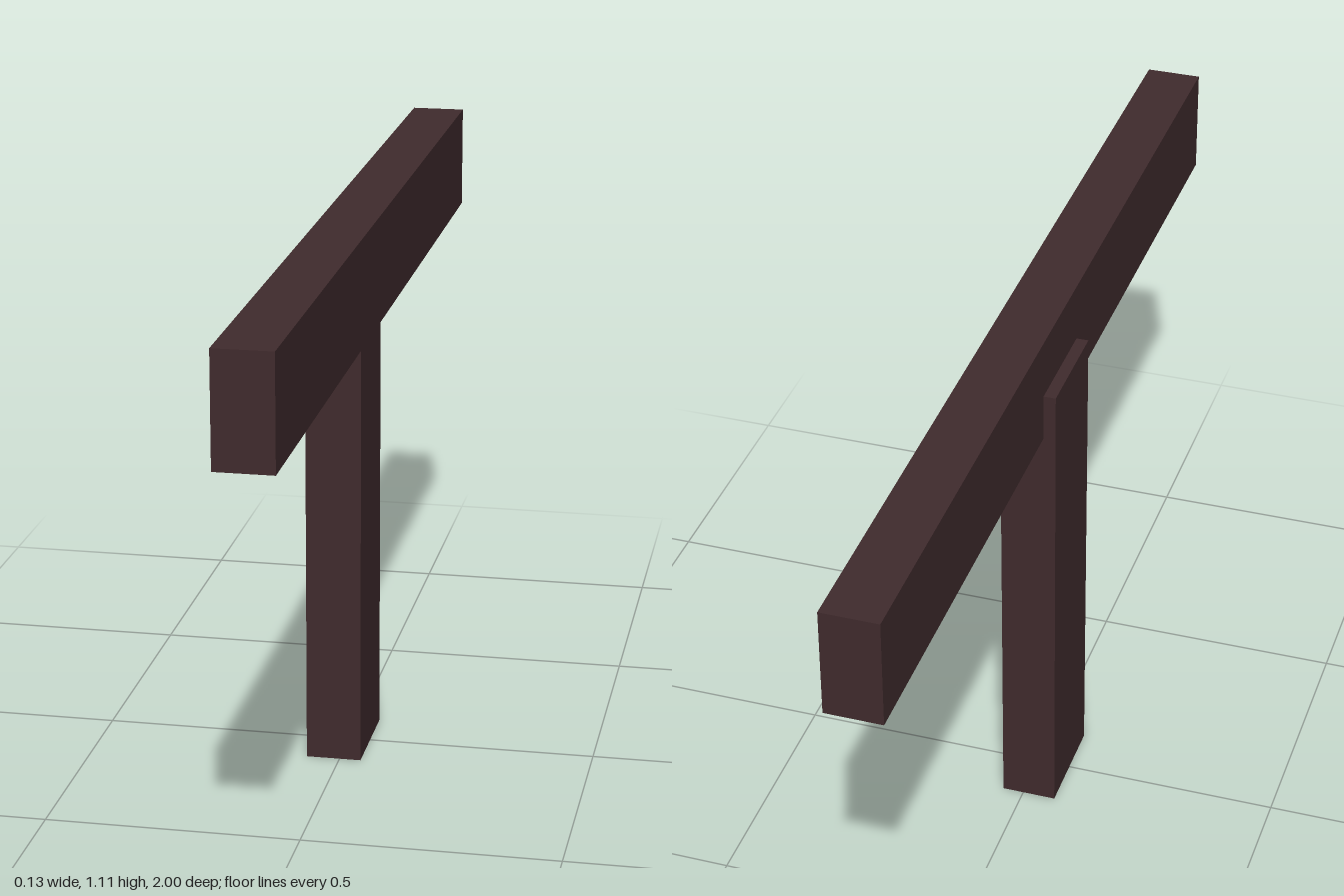
import * as THREE from 'three';

export function createModel() {
  const model = new THREE.Group();
  model.name = 'postAndBeam';

  const darkWood = new THREE.MeshStandardMaterial({ color: 0x402b2d });
  darkWood.name = 'darkWood';

  // Adds a box given its size and centre
  function addBox(name, size, centre) {
    const mesh = new THREE.Mesh(new THREE.BoxGeometry(...size), darkWood);
    mesh.name = name;
    mesh.position.set(...centre);
    model.add(mesh);
  }

  const thickness = 0.11; // timber thickness along x
  const depth = 0.213;    // timber width
  const offset = 0.012;   // beam and post are lapped sideways

  // Upright post, its top notched into the beam
  addBox('post', [thickness, 0.988, depth], [-offset, 0.494, 0]);

  // Long horizontal beam
  addBox('beam', [thickness, depth, 2], [offset, 0.999, 0]);

  return model;
}
